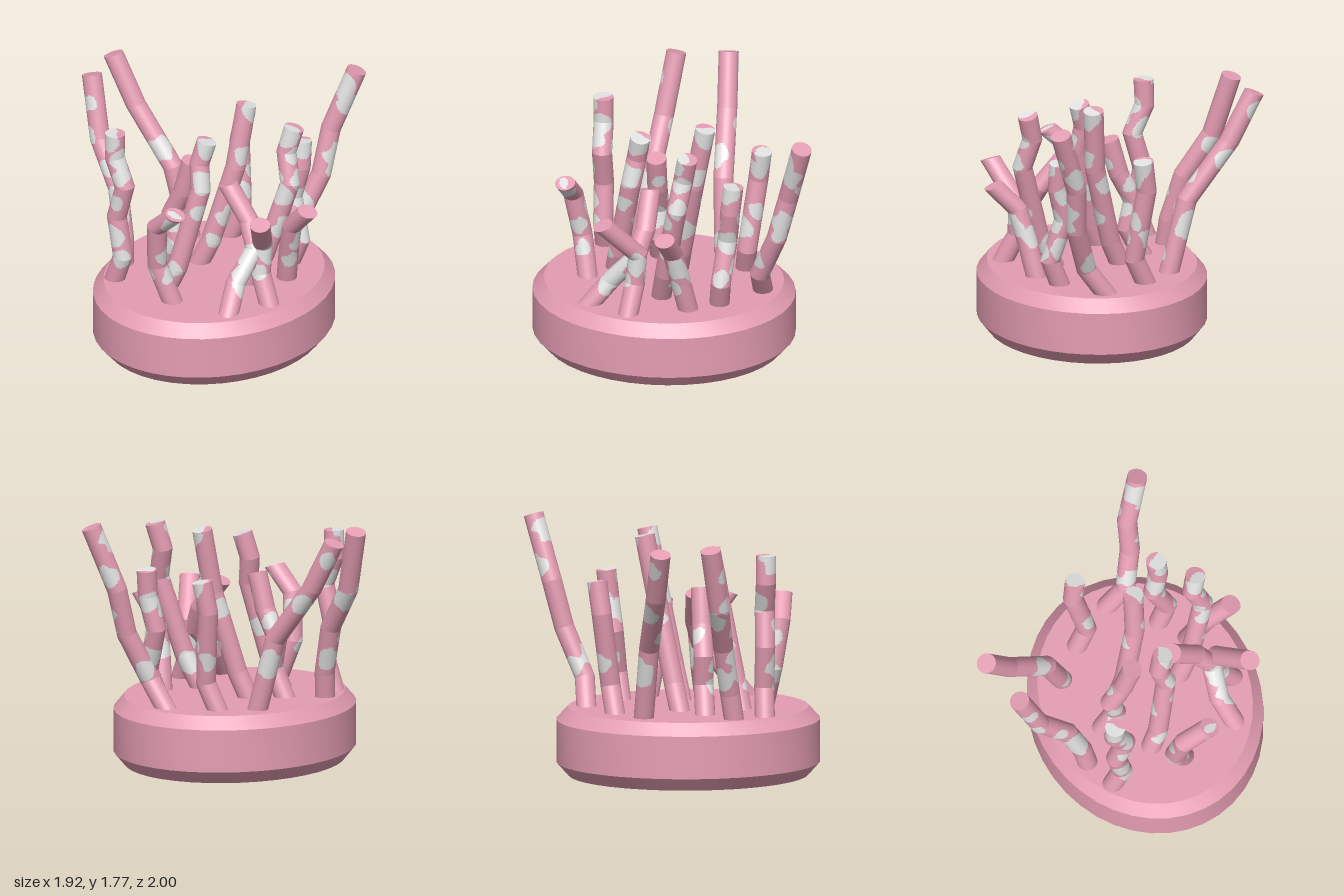
import * as THREE from 'three';
import { toCreasedNormals } from 'three/addons/utils/BufferGeometryUtils.js';

const RADIUS = 0.069, SIDES = 40, STEP = 0.012, ROOT_Y = 0.47, MAX_TILT = 0.38;
const UP = new THREE.Vector3(0, 1, 0);

// Path from root [x, z] over bends [x, y] to tip [x, y, z]; a bend drifts in z with height unless it gives its own z
function makePath(root, bends, tip) {
  const start = new THREE.Vector3(root[0], ROOT_Y, root[1]);
  const end = new THREE.Vector3(...tip);
  const middle = bends.map(([x, y, z]) => {
    const drift = THREE.MathUtils.mapLinear(y, ROOT_Y, end.y, start.z, end.z);
    return new THREE.Vector3(x, y, z ?? drift);
  });
  return [start, ...middle, end];
}

// Centre line position at a given height
function axisAt(path, y) {
  let i = 0;
  while (i < path.length - 2 && path[i + 1].y < y) i++;
  return path[i].clone().lerp(path[i + 1], (y - path[i].y) / (path[i + 1].y - path[i].y));
}

// Spot centre on the skin at [height, compass degrees (0 = front, 90 = +x), optional size]
function makeSpot(path, [y, degrees, size = 0.08]) {
  const a = THREE.MathUtils.degToRad(degrees);
  const center = axisAt(path, y);
  center.x += RADIUS * Math.sin(a);
  center.z += RADIUS * Math.cos(a);
  return { center, size };
}

// Disc outline around a path point, following the direction but never leaning far from upright
function makeRing(center, direction) {
  const tilt = Math.min(direction.angleTo(UP), MAX_TILT);
  const hinge = UP.clone().cross(direction).normalize();
  return Array.from({ length: SIDES + 1 }, (_, s) => {
    const a = s / SIDES * Math.PI * 2;
    return new THREE.Vector3(Math.sin(a), 0, Math.cos(a)).multiplyScalar(RADIUS).applyAxisAngle(hinge, tilt).add(center);
  });
}

// Skin over the discs with a flat tip; triangles are sorted into plain and spotted groups
function tentacleGeometry(path, spots) {
  const dirs = path.slice(1).map((p, i) => p.clone().sub(path[i]).normalize());
  path[0].addScaledVector(dirs[0], -0.07);
  const rings = path.map((p, i) => makeRing(p, (dirs[i - 1] ?? dirs[i]).clone().add(dirs[i] ?? dirs[i - 1]).normalize()));
  const pos = [], nor = [], faces = [[], []], mid = new THREE.Vector3();
  const push = (p, n) => { pos.push(p.x, p.y, p.z); nor.push(n.x, n.y, n.z); };
  const face = (...corners) => {
    mid.set(0, 0, 0);
    for (const k of corners) mid.add(new THREE.Vector3().fromArray(pos, k * 3));
    mid.divideScalar(3);
    const wobble = 0.009 * (Math.sin(mid.x * 47 + mid.y * 31) + Math.sin(mid.z * 53 - mid.y * 37));
    const spotted = spots.some(s => mid.distanceTo(s.center) < s.size + wobble);
    faces[spotted ? 1 : 0].push(...corners);
  };
  const stitch = (start, rows) => {
    for (let r = 0; r < rows; r++) for (let s = 0; s < SIDES; s++) {
      const a = start + r * (SIDES + 1) + s, b = a + SIDES + 1;
      face(a, a + 1, b);
      face(a + 1, b + 1, b);
    }
  };

  // Side skin, one straight piece per segment
  dirs.forEach((d, i) => {
    const from = rings[i], to = rings[i + 1];
    const normals = from.map((p, s) => {
      const around = from[s % SIDES + 1].clone().sub(from[(s + SIDES - 1) % SIDES]);
      return around.cross(d).normalize();
    });
    const rows = Math.ceil(path[i].distanceTo(path[i + 1]) / STEP), start = pos.length / 3;
    for (let r = 0; r <= rows; r++) from.forEach((p, s) => push(p.clone().lerp(to[s], r / rows), normals[s]));
    stitch(start, rows);
  });
  // Flat tip
  const tip = path[path.length - 1], rim = rings[rings.length - 1], start = pos.length / 3;
  const tipNormal = rim[0].clone().sub(tip).cross(rim[SIDES / 4].clone().sub(tip)).normalize();
  for (let r = 0; r <= 5; r++) rim.forEach(p => push(p.clone().lerp(tip, r / 5), tipNormal));
  stitch(start, 5);

  const geo = new THREE.BufferGeometry();
  geo.setAttribute('position', new THREE.Float32BufferAttribute(pos, 3));
  geo.setAttribute('normal', new THREE.Float32BufferAttribute(nor, 3));
  geo.setIndex([...faces[0], ...faces[1]]);
  geo.addGroup(0, faces[0].length, 0);
  geo.addGroup(faces[0].length, faces[1].length, 1);
  return geo;
}

export function createModel() {
  const model = new THREE.Group();
  model.name = 'tentacleCluster';
  const pink = new THREE.MeshStandardMaterial({ name: 'pink', color: 0xe49db2 });
  const grey = new THREE.MeshStandardMaterial({ name: 'paleGrey', color: 0xe2e2e2 });

  // Oval base with bevelled rims
  const profile = [[0, 0], [0.825, 0], [0.905, 0.09], [0.905, 0.385], [0.825, ROOT_Y], [0, ROOT_Y]]
    .map(p => new THREE.Vector2(...p));
  const baseGeo = new THREE.LatheGeometry(profile, 40);
  baseGeo.scale(0.867, 1, 1);
  const base = new THREE.Mesh(toCreasedNormals(baseGeo, 0.5), pink);
  base.name = 'base';
  base.position.set(0.175, 0, 0.095);
  model.add(base);

  const tentacles = new THREE.Group();
  tentacles.name = 'tentacles';
  model.add(tentacles);
  const addTentacle = (name, root, bends, tip, spots) => {
    const path = makePath(root, bends, tip);
    const geo = tentacleGeometry(path, spots.map(s => makeSpot(path, s)));
    const mesh = new THREE.Mesh(geo, [pink, grey]);
    mesh.name = name;
    tentacles.add(mesh);
  };

  // Back tentacles
  addTentacle('backTallTentacle', [0.24, -0.6], [[0.37, 0.65, -0.6], [0.47, 0.98], [0.49, 1.3]], [0.625, 1.74, -0.93],
    [[1.64, -20, 0.1], [1.5, 70], [1.4, 200], [1.13, 100], [1.02, 110, 0.06], [0.8, 0], [0.72, 215]]);
  addTentacle('backRightTentacle', [-0.08, -0.43], [[0, 0.65], [-0.03, 0.88], [-0.07, 1.16]], [-0.04, 1.38, -0.55],
    [[1.37, 130, 0.1], [1.26, 90], [0.83, 40], [0.95, 120, 0.06], [0.82, 225, 0.06]]);
  addTentacle('backLeftTentacle', [0.5, -0.34], [[0.57, 0.65], [0.48, 0.95], [0.53, 1.18]], [0.525, 1.37, -0.44],
    [[1.36, 60, 0.1], [1.1, -30], [0.95, 90], [0.7, 90, 0.06], [1.15, 215], [0.75, 215]]);
  addTentacle('backOuterRightTentacle', [-0.29, -0.25], [[-0.42, 0.97], [-0.72, 1.36]], [-0.9, 1.7, -0.185],
    [[1.58, 225, 0.06], [1.25, 225], [1.1, 30, 0.09], [0.8, 225, 0.1], [0.57, 60, 0.06]]);

  // Middle tentacles
  addTentacle('centreTentacle', [0, 0.02], [[0.07, 0.64], [0.2, 1.2]], [0.23, 1.65, -0.2],
    [[1.62, 110, 0.1], [1.3, 90], [0.85, 90], [0.65, 45, 0.06], [1.1, 230]]);
  addTentacle('centreRightTentacle', [-0.19, 0.18], [[-0.09, 0.66], [-0.13, 0.86], [-0.03, 1.06]], [0.04, 1.31, 0.17],
    [[0.81, 0, 0.07], [0.65, -20, 0.07], [1.13, 110, 0.05], [0.83, 90], [1, 225, 0.06]]);
  addTentacle('centreLeftTentacle', [0.45, 0.07], [[0.56, 0.7], [0.7, 1.24], [0.64, 1.45]], [0.68, 1.63, -0.145],
    [[1.59, 0, 0.09], [1.45, 90, 0.06], [1.28, -60, 0.06], [1.17, 10], [1.27, 100, 0.07], [0.93, 90], [0.65, 215]]);
  addTentacle('outerLeftTentacle', [0.62, -0.14], [[0.67, 0.7], [0.73, 0.93]], [0.89, 1.1, -0.02],
    [[0.83, 110], [0.66, 45, 0.06], [0.75, 225]]);
  addTentacle('outerFrontLeftTentacle', [0.76, 0.25], [[0.67, 0.66, 0.22], [0.67, 0.88, 0.2]], [0.815, 1.15, 0.42],
    [[0.7, 20, 0.065], [0.83, 90], [0.75, 215]]);

  // Front tentacles
  addTentacle('frontCentreTentacle', [0.05, 0.45], [[0.11, 0.62], [0.225, 1.2], [0.19, 1.38]], [0.23, 1.55, 0.25],
    [[1.53, 70, 0.1], [1.27, 60, 0.09], [1.05, 60, 0.06], [0.62, 0, 0.06], [0.9, 220]]);
  addTentacle('frontOuterRightTentacle', [-0.4, 0.36], [[-0.42, 0.65], [-0.51, 0.98], [-0.7, 1.28]], [-0.82, 1.71, 0.165],
    [[1.54, -10, 0.06], [1.3, -40, 0.06], [1.12, 10, 0.06], [0.93, 0], [0.82, 15, 0.09], [1.2, 225], [0.75, 235]]);
  addTentacle('frontRightTentacle', [-0.31, 0.58], [[-0.24, 0.66], [-0.29, 0.95], [-0.22, 1.2], [-0.305, 1.4]], [-0.3, 1.585, 0.59],
    [[1.55, -30, 0.1], [1.4, 75], [1.3, 50, 0.07], [1.1, 0, 0.06], [0.82, -10], [0.66, 30, 0.07], [1.25, 225]]);
  addTentacle('frontShortTentacle', [0.21, 0.62], [[0.12, 0.74], [0.16, 1.06]], [0.34, 1.22, 0.755],
    [[1.15, 75], [0.84, 90, 0.06], [0.67, 90, 0.06], [0.69, -60, 0.06], [0.95, 220]]);
  addTentacle('inwardLeftTentacle', [0.63, 0.53], [[0.59, 0.63, 0.4], [0.62, 0.83, 0.22], [0.53, 1, 0.17]], [0.345, 1.22, 0.16],
    [[0.68, 60, 0.1], [0.6, 90, 0.06], [0.81, 10]]);
  return model;
}
